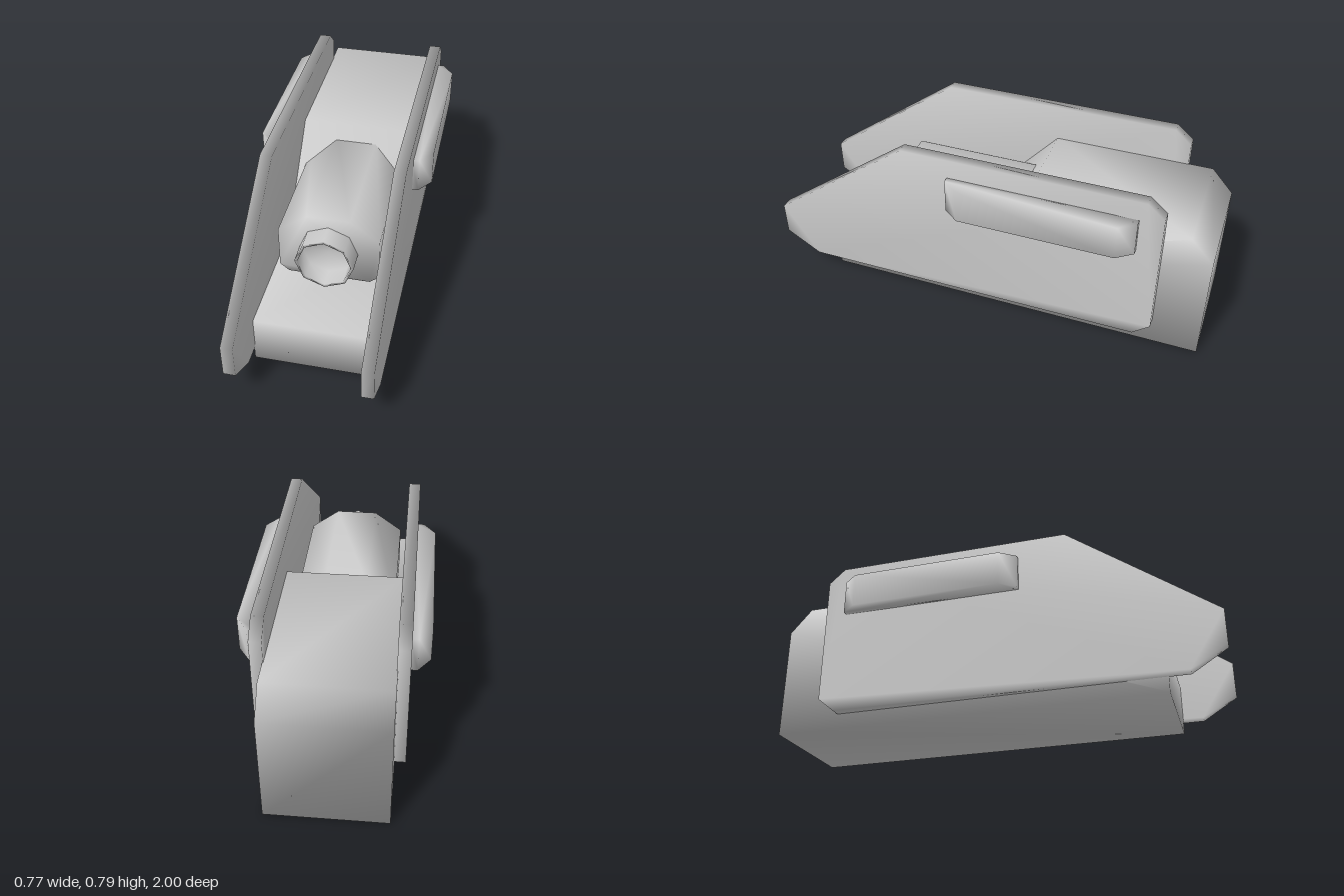
import * as THREE from 'three';
import { mergeVertices } from 'three/addons/utils/BufferGeometryUtils.js';

const grey = new THREE.MeshStandardMaterial({ color: 0xcccccc });

// Prism from an outline, centred along its depth, with normals shared across the edges
function prism(outline, depth) {
  const shape = new THREE.Shape(outline.map(([x, y]) => new THREE.Vector2(x, y)));
  const geometry = new THREE.ExtrudeGeometry(shape, { depth, bevelEnabled: false });
  geometry.translate(0, 0, -depth / 2);
  geometry.deleteAttribute('normal');
  geometry.deleteAttribute('uv');
  const smooth = mergeVertices(geometry, 1e-4);
  smooth.computeVertexNormals();
  return smooth;
}

// Outline given as [z, y], thickness along x
const sidePrism = (outline, width) => prism(outline, width).rotateY(-Math.PI / 2);

export function createModel() {
  const model = new THREE.Group();
  const add = (name, geometry, x = 0, y = 0, z = 0) => {
    const mesh = new THREE.Mesh(geometry, grey);
    mesh.name = name;
    mesh.position.set(x, y, z);
    model.add(mesh);
    return mesh;
  };

  // Stepped body: low nose, slope, tall rear with chamfered top edge
  add('body', sidePrism([
    [0.755, 0], [0.755, 0.223], [0.18, 0.223], [-0.18, 0.62],
    [-0.9, 0.62], [-1, 0.51], [-1, 0],
  ], 0.516));

  // Housing that holds the barrel, sunk into the slope
  add('barrelHousing', prism([
    [-0.22, 0.275], [-0.18, 0.242], [0.18, 0.242], [0.22, 0.275],
    [0.22, 0.47], [0.093, 0.563], [-0.093, 0.563], [-0.22, 0.47],
  ], 0.6), 0, 0, 0.145);

  // Eight-sided hollow barrel
  const barrelProfile = [[0.128, 0.4], [0.128, 0.535], [0.115, 0.535], [0.115, 0.45], [0, 0.45]]
    .map(([r, z]) => new THREE.Vector2(r, z));
  add('barrel', new THREE.LatheGeometry(barrelProfile, 8).rotateX(Math.PI / 2), 0, 0.39, 0);

  // Side plates with a pod on the outside of each
  const plate = sidePrism([
    [1, 0.315], [0.355, 0.785], [-0.715, 0.785], [-0.79, 0.72],
    [-0.79, 0.13], [-0.715, 0.068], [0.845, 0.068], [1, 0.165],
  ], 0.052);
  const pod = prism([
    [-0.005, -0.415], [0.03, -0.415], [0.082, -0.345],
    [0.082, 0.345], [0.03, 0.415], [-0.005, 0.415],
  ], 0.156).rotateX(Math.PI / 2);
  for (const [side, s] of [['left', 1], ['right', -1]]) {
    add(side + 'Plate', plate, s * 0.28, 0, 0);
    const mesh = add(side + 'Pod', pod, s * 0.302, 0.618, -0.273);
    mesh.rotation.y = s > 0 ? 0 : Math.PI;
  }
  return model;
}
